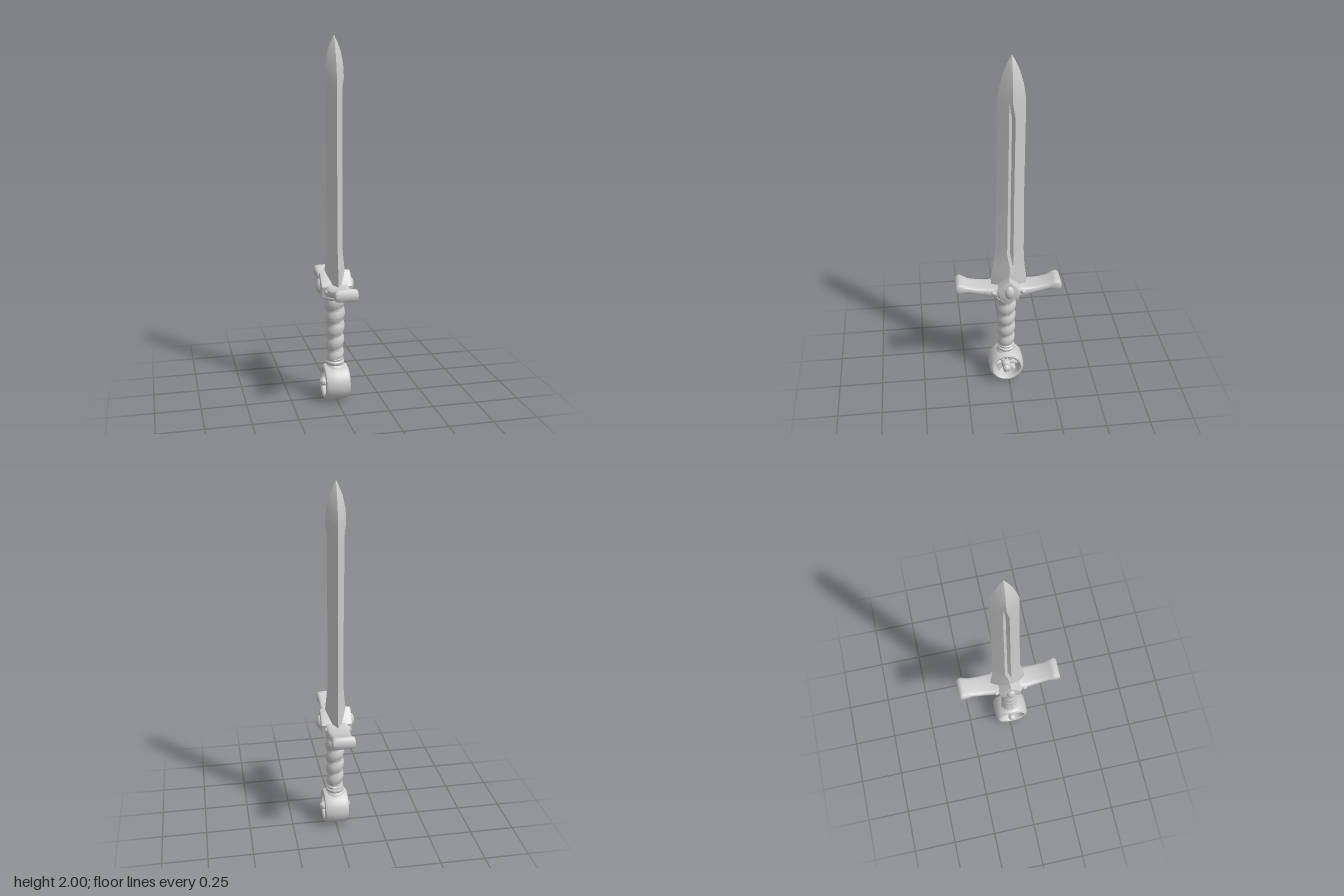
import * as THREE from 'three';
import { toCreasedNormals } from 'three/addons/utils/BufferGeometryUtils.js';

const steel = new THREE.MeshStandardMaterial({ color: 0xcccccc });
steel.name = 'steel grey';

// Skin a list of rings (counter-clockwise seen from the far end) and cap both ends.
function loft(rings, crease = 0.6) {
  const n = rings[0].length, pos = [], idx = [];
  rings.forEach(r => r.forEach(p => pos.push(...p)));
  for (let i = 0; i < rings.length - 1; i++) for (let j = 0; j < n; j++) {
    const a = i * n + j, b = i * n + (j + 1) % n;
    idx.push(a, b, a + n, b, b + n, a + n);
  }
  [0, rings.length - 1].forEach((i, end) => {
    const c = pos.length / 3;
    pos.push(...[0, 1, 2].map(k => rings[i].reduce((s, p) => s + p[k], 0) / n));
    for (let j = 0; j < n; j++) {
      const a = i * n + j, b = i * n + (j + 1) % n;
      if (end) idx.push(c, a, b); else idx.push(c, b, a);
    }
  });
  const g = new THREE.BufferGeometry();
  g.setAttribute('position', new THREE.Float32BufferAttribute(pos, 3));
  g.setIndex(idx);
  return toCreasedNormals(g, crease);
}

function lathe(points, segments = 32) {
  const g = new THREE.LatheGeometry(points.map(p => new THREE.Vector2(...p)), segments);
  return toCreasedNormals(g, 0.6);
}

export function createModel() {
  const model = new THREE.Group();
  model.name = 'sword';
  const add = (name, geometry, parent = model) => {
    const m = new THREE.Mesh(geometry, steel);
    m.name = name;
    parent.add(m);
    return m;
  };

  // Blade: diamond section with a fuller; rows are y, centre z, half width, half thickness, ridge height
  const blade = [
    [0.64, -0.003, 0.1, 0.06, 1], [0.73, -0.003, 0.098, 0.058, 1], [0.8, -0.006, 0.086, 0.051, 1],
    [0.88, -0.009, 0.079, 0.05, 0.58], [1.2, -0.012, 0.074, 0.05, 0.55], [1.68, -0.018, 0.073, 0.052, 0.58],
    [1.78, -0.018, 0.072, 0.054, 1], [1.85, -0.02, 0.06, 0.05, 1], [1.92, -0.02, 0.04, 0.036, 1],
    [1.97, -0.02, 0.018, 0.016, 1], [2, -0.02, 0.001, 0.001, 1]];
  add('blade', loft(blade.map(([y, c, w, t, ridge]) => {
    const half = [[1, 0], [0.6, 0.45], [0.22, 0.82], [0, ridge], [-0.22, 0.82], [-0.6, 0.45]];
    return [...half, ...half.map(([u, v]) => [-u, -v])].map(([u, v]) => [v * t, y, c + u * w]);
  }), 0.45));

  // Cross-guard: rows are z, centre y, half height, half width
  const arm = [[0, 0.645, 0.04, 0.068], [0.06, 0.642, 0.034, 0.066], [0.1, 0.642, 0.026, 0.063],
    [0.17, 0.653, 0.02, 0.058], [0.225, 0.665, 0.021, 0.056], [0.25, 0.674, 0.028, 0.06],
    [0.272, 0.677, 0.035, 0.064], [0.288, 0.675, 0.03, 0.063], [0.296, 0.673, 0.017, 0.058]];
  const guardRows = [...arm.slice(1).reverse().map(([z, y, h, w]) => [-z, y - z * 0.03, h, w]),
    ...arm.map(([z, y, h, w]) => [z, y + z * 0.01, h, w])];
  add('crossGuard', loft(guardRows.map(([z, y, h, w]) => Array.from({ length: 20 }, (_, j) => {
    const a = j / 20 * Math.PI * 2, c = Math.cos(a), s = Math.sin(a);
    return [Math.sign(c) * Math.abs(c) ** 0.4 * w, y + Math.sign(s) * Math.abs(s) ** 0.5 * h, z];
  })), 0.9));

  // Pointed centre block
  const shield = new THREE.Shape([[-0.045, 0.615], [0.045, 0.615], [0.056, 0.665], [0.028, 0.698],
    [0, 0.728], [-0.028, 0.698], [-0.056, 0.665]].map(p => new THREE.Vector2(...p)));
  const block = new THREE.ExtrudeGeometry(shield, {
    depth: 0.14, bevelThickness: 0.017, bevelSize: 0.01, bevelSegments: 3 });
  block.translate(0, 0, -0.07).rotateY(-Math.PI / 2);
  add('guardBlock', toCreasedNormals(block, 0.6));

  // Bosses and small studs on both faces
  for (const s of [-1, 1]) {
    const boss = add('guardBoss', new THREE.SphereGeometry(1, 12, 8));
    boss.scale.set(0.025, 0.042, 0.028);
    boss.position.set(s * 0.083, 0.66, 0);
    for (const z of [-0.08, 0.085]) {
      const stud = add('guardStud', new THREE.SphereGeometry(0.015, 10, 8));
      stud.position.set(s * 0.06, 0.645, z);
    }
  }

  // Grip with a spiral ridge
  const gripRings = [];
  for (let i = 0; i <= 56; i++) {
    const k = i / 56, y = 0.22 + k * 0.36;
    gripRings.push(Array.from({ length: 28 }, (_, j) => {
      const a = j / 28 * Math.PI * 2;
      const wave = Math.abs(Math.sin((Math.PI / 2 - a) / 2 + Math.PI * y / 0.078));
      const r = 0.037 + 0.009 * k + 0.011 * wave;
      return [Math.sin(a) * r, y, 0.009 + Math.cos(a) * r];
    }));
  }
  add('grip', loft(gripRings, 1.2));

  // Collars above and below the grip
  const upper = add('upperCollar', lathe([[0, 0.565], [0.05, 0.565], [0.056, 0.575], [0.055, 0.583],
    [0.066, 0.587], [0.07, 0.597], [0.067, 0.608], [0.058, 0.612], [0.06, 0.63], [0, 0.63]]));
  upper.scale.z = 0.85;
  upper.position.z = 0.007;
  const lower = add('lowerCollar', lathe([[0, 0.18], [0.058, 0.18], [0.053, 0.198], [0.046, 0.206],
    [0.051, 0.214], [0.051, 0.223], [0.044, 0.23], [0.047, 0.24], [0.04, 0.248], [0, 0.248]]));
  lower.position.z = 0.011;

  // Wheel pommel, its axle along x
  const pommel = new THREE.Group();
  pommel.name = 'pommel';
  pommel.position.set(0, 0.102, 0.013);
  model.add(pommel);
  const rim = add('pommelRim', lathe([[0.07, -0.05], [0.074, -0.063], [0.083, -0.07], [0.093, -0.065],
    [0.1, -0.05], [0.102, 0], [0.1, 0.05], [0.093, 0.065], [0.083, 0.07], [0.074, 0.063],
    [0.07, 0.05], [0.07, -0.05]], 40), pommel);
  rim.rotation.z = Math.PI / 2;
  for (let i = 0; i < 8; i++) {
    const spoke = add('pommelSpoke', new THREE.CylinderGeometry(0.013, 0.009, 0.056, 8), pommel);
    const a = i * Math.PI / 4;
    spoke.scale.x = 2.6;
    spoke.position.set(0, Math.cos(a) * 0.046, Math.sin(a) * 0.046);
    spoke.rotation.x = a;
  }
  const hub = add('pommelHub', lathe([[0, -0.09], [0.012, -0.087], [0.022, -0.076], [0.024, -0.064],
    [0.019, -0.052], [0.027, -0.035], [0.027, 0.035], [0.019, 0.052], [0.024, 0.064],
    [0.022, 0.076], [0.012, 0.087], [0, 0.09]], 20), pommel);
  hub.rotation.z = Math.PI / 2;

  return model;
}
